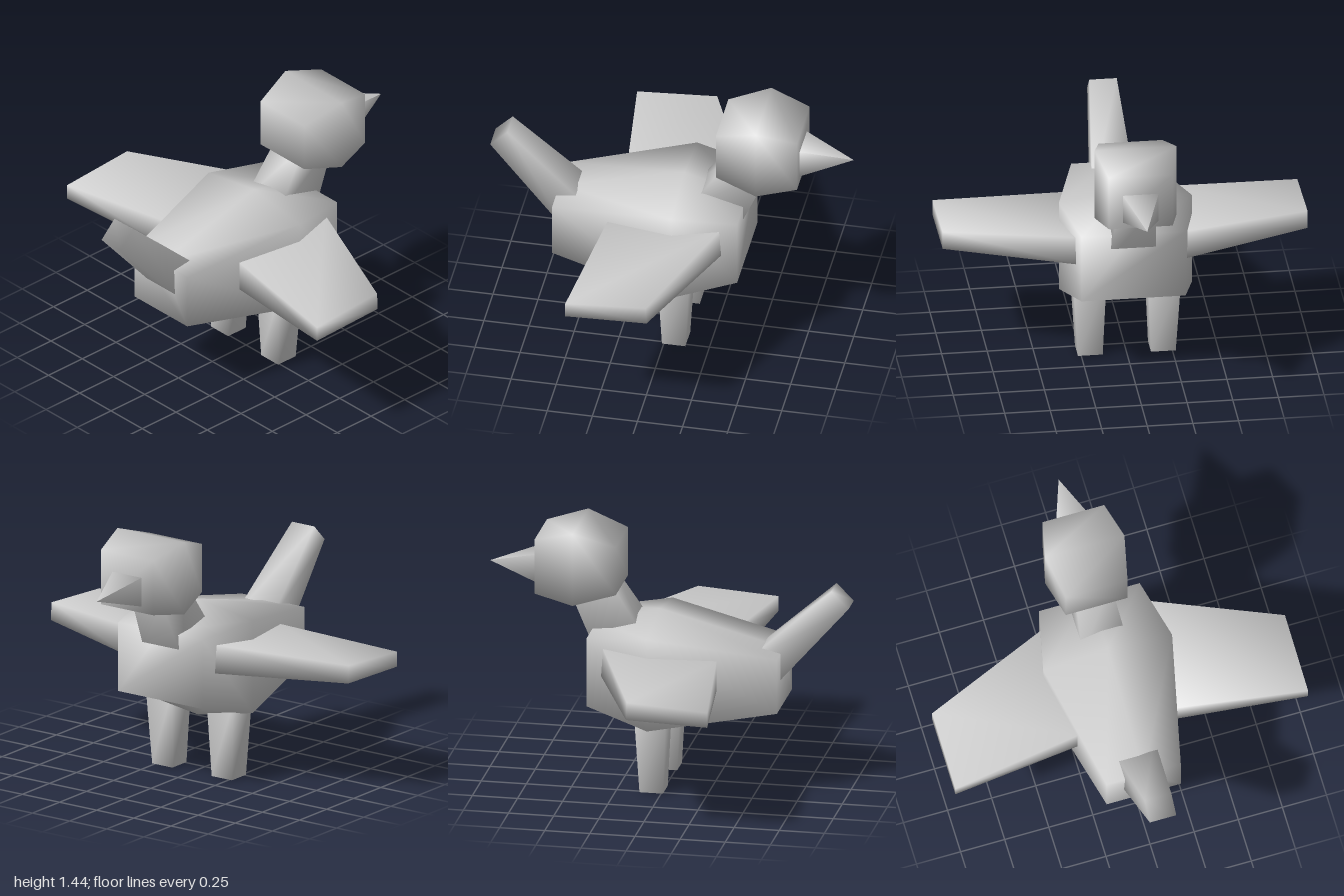
import * as THREE from 'three';

// Closed smooth skin through matching cross-sections; points run
// counter-clockwise when seen from the end of the loft.
function loft(sections) {
  const n = sections[0].length, last = (sections.length - 1) * n, index = [];
  for (let s = 0; s < last; s += n) {
    for (let i = 0; i < n; i++) {
      const a = s + i, b = s + (i + 1) % n;
      index.push(a, b, b + n, a, b + n, a + n);
    }
  }
  for (let i = 1; i < n - 1; i++) {
    index.push(0, i + 1, i, last, last + i, last + i + 1);
  }
  const g = new THREE.BufferGeometry();
  g.setAttribute('position', new THREE.Float32BufferAttribute(sections.flat(2), 3));
  g.setIndex(index);
  g.computeVertexNormals();
  return g;
}

// Rectangle of half width w spanning from point [y, z] to point [y, z]
const rect = (w, [y0, z0], [y1, z1], x = 0) => [
  [x + w, y0, z0], [x + w, y1, z1], [x - w, y1, z1], [x - w, y0, z0],
];

// Body section: a box with a raised top ridge and a lowered keel
const bodySection = (z, w, low, high, keel, ridge) => [
  [w, low, z], [w, high, z], [0, ridge, z], [-w, high, z], [-w, low, z], [0, keel, z],
];

export function createModel() {
  const group = new THREE.Group();
  const material = new THREE.MeshStandardMaterial({ color: 0xcccccc });
  const add = (name, sections) => {
    const mesh = new THREE.Mesh(loft(sections), material);
    mesh.name = name;
    group.add(mesh);
  };

  add('body', [
    bodySection(-0.41, 0.285, 0.48, 0.87, 0.48, 0.87),
    bodySection(-0.06, 0.365, 0.385, 0.91, 0.31, 0.97),
    bodySection(0.63, 0.21, 0.48, 0.79, 0.48, 0.79),
  ]);

  add('head', [
    rect(0.175, [1.07, -0.72], [1.38, -0.72]),
    rect(0.225, [1.03, -0.5], [1.44, -0.5]),
    rect(0.175, [1.09, -0.27], [1.365, -0.27]),
  ]);

  add('beak', [
    rect(0, [1.185, -1], [1.185, -1]),
    rect(0.105, [1.1, -0.7], [1.275, -0.7]),
  ]);

  add('neck', [
    rect(0.13, [0.83, -0.11], [0.7, -0.37]),
    rect(0.1, [1.18, -0.345], [1.12, -0.56]),
  ]);

  add('tail', [
    rect(0.12, [0.55, 0.55], [0.72, 0.42]),
    rect(0.075, [1.06, 1], [1.155, 0.905]),
  ]);

  for (const side of [1, -1]) {
    const label = side > 0 ? 'left' : 'right';

    add(label + 'Leg', [
      rect(0.068, [0, 0.01], [0, -0.12], side * 0.2),
      rect(0.09, [0.45, 0.03], [0.45, -0.145], side * 0.205),
    ]);

    // Wing sections: front low, front high, back high, back low
    const wing = [
      [[0.28, 0.665, -0.335], [0.28, 0.825, -0.325], [0.28, 0.785, 0.31], [0.28, 0.615, 0.31]],
      [[1, 0.665, -0.05], [1, 0.765, -0.045], [1, 0.735, 0.4], [1, 0.65, 0.4]],
    ].map((section) => section.map(([x, y, z]) => [side * x, y, z]));
    add(label + 'Wing', side > 0 ? wing : wing.map((section) => section.reverse()));
  }

  return group;
}
